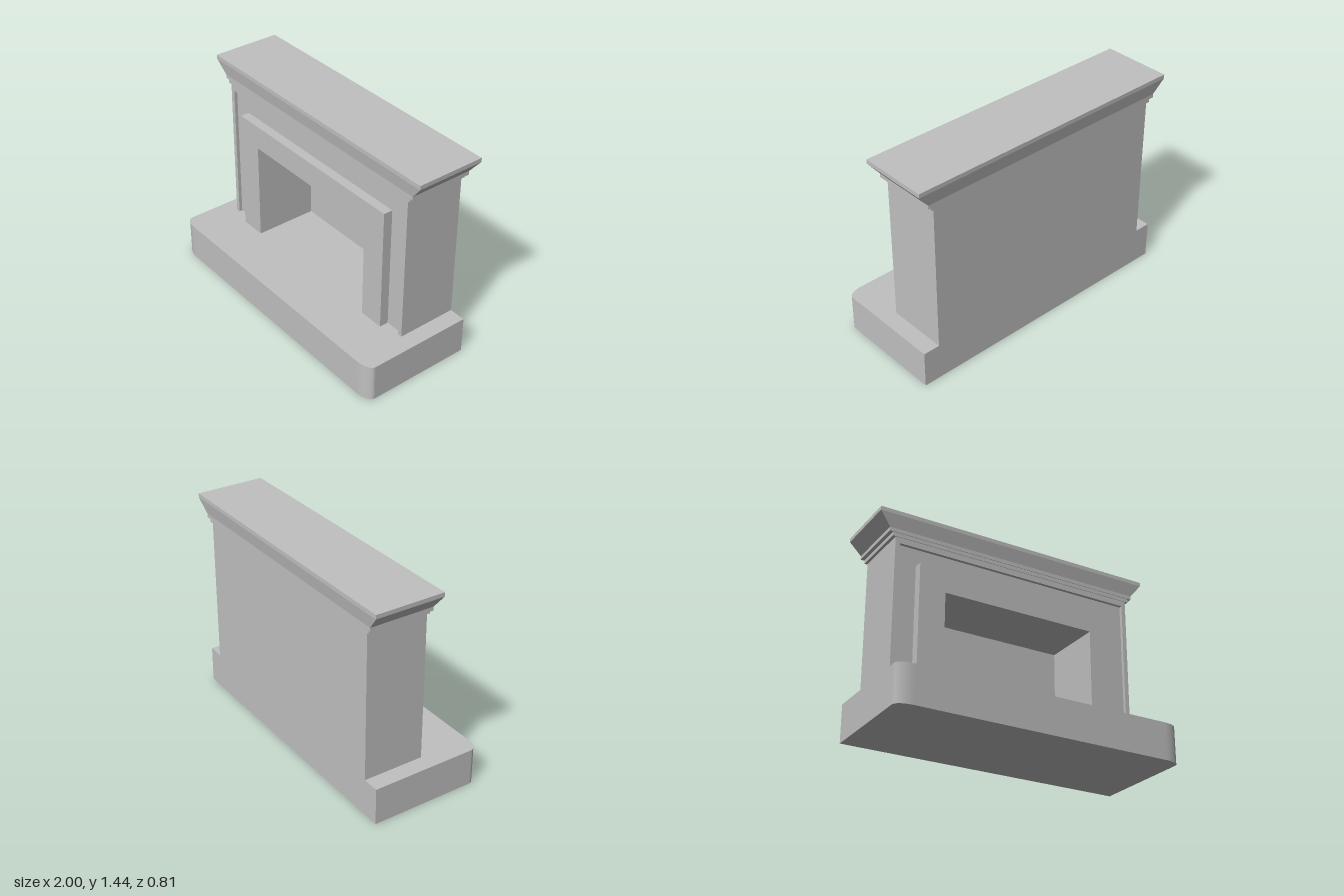
import * as THREE from 'three';

const HEARTH_TOP = 0.255;
const BODY_TOP = 1.27;

export function createModel() {
  const group = new THREE.Group();
  const stone = new THREE.MeshStandardMaterial({ color: 0xc0c0c0 });
  stone.name = 'grey stone';

  const add = (name, geometry) => {
    const mesh = new THREE.Mesh(geometry, stone);
    mesh.name = name;
    group.add(mesh);
    return mesh;
  };

  // Box given by its limits
  const box = (name, x0, x1, y0, y1, z0, z1) => {
    const g = new THREE.BoxGeometry(x1 - x0, y1 - y0, z1 - z0);
    g.translate((x0 + x1) / 2, (y0 + y1) / 2, (z0 + z1) / 2);
    return add(name, g);
  };

  // Upside-down U standing on the hearth, extruded from z0 to z1
  const arch = (name, [ox0, ox1, oy], [ix0, ix1, iy], z0, z1) => {
    const points = [
      [ox0, HEARTH_TOP], [ix0, HEARTH_TOP], [ix0, iy], [ix1, iy],
      [ix1, HEARTH_TOP], [ox1, HEARTH_TOP], [ox1, oy], [ox0, oy],
    ].map(([x, y]) => new THREE.Vector2(x, y));
    const g = new THREE.ExtrudeGeometry(new THREE.Shape(points), { depth: z1 - z0, bevelEnabled: false });
    g.translate(0, 0, z0);
    return add(name, g);
  };

  // Hearth slab with rounded front corners (shape y is -z)
  const w = 0.995, front = -0.405, back = 0.375, rx = 0.11, rz = 0.055;
  const plan = new THREE.Shape();
  plan.moveTo(w, back);
  plan.lineTo(-w, back);
  plan.lineTo(-w, front + rz);
  plan.absellipse(-w + rx, front + rz, rx, rz, Math.PI, Math.PI * 1.5, false, 0);
  plan.lineTo(w - rx, front);
  plan.absellipse(w - rx, front + rz, rx, rz, Math.PI * 1.5, Math.PI * 2, false, 0);
  plan.closePath();
  const hearth = new THREE.ExtrudeGeometry(plan, { depth: HEARTH_TOP, bevelEnabled: false, curveSegments: 6 });
  hearth.rotateX(-Math.PI / 2);
  add('hearth', hearth);

  // Chimney breast: back wall, hollow core, raised outer frame, surround
  const outer = [-0.88, 0.88, BODY_TOP];
  const opening = [-0.54, 0.55, 0.945];
  box('firebackWall', -0.88, 0.88, HEARTH_TOP, BODY_TOP, -0.375, -0.355);
  arch('chimneyBreast', outer, opening, -0.355, 0.022);
  arch('outerFrame', outer, [-0.85, 0.85, 1.23], 0.022, 0.045);
  arch('fireSurround', [-0.722, 0.725, 1.11], opening, 0.022, 0.085);

  // Stepped mouldings under the mantel
  box('lowerMoulding', -0.9, 0.9, BODY_TOP, 1.297, -0.381, 0.049);
  box('upperMoulding', -0.925, 0.925, 1.297, 1.323, -0.388, 0.053);

  // Flared crown: a box whose bottom is drawn in
  const crown = box('crownMoulding', -1, 1, 1.323, 1.415, -0.405, 0.07);
  const p = crown.geometry.attributes.position;
  for (let i = 0; i < p.count; i++) {
    if (p.getY(i) < 1.37) {
      p.setX(i, Math.sign(p.getX(i)) * 0.925);
      p.setZ(i, p.getZ(i) > 0 ? 0.053 : -0.388);
    }
  }
  crown.geometry = crown.geometry.toNonIndexed();
  crown.geometry.computeVertexNormals();

  box('mantelShelf', -1, 1, 1.415, 1.443, -0.405, 0.07);

  return group;
}
